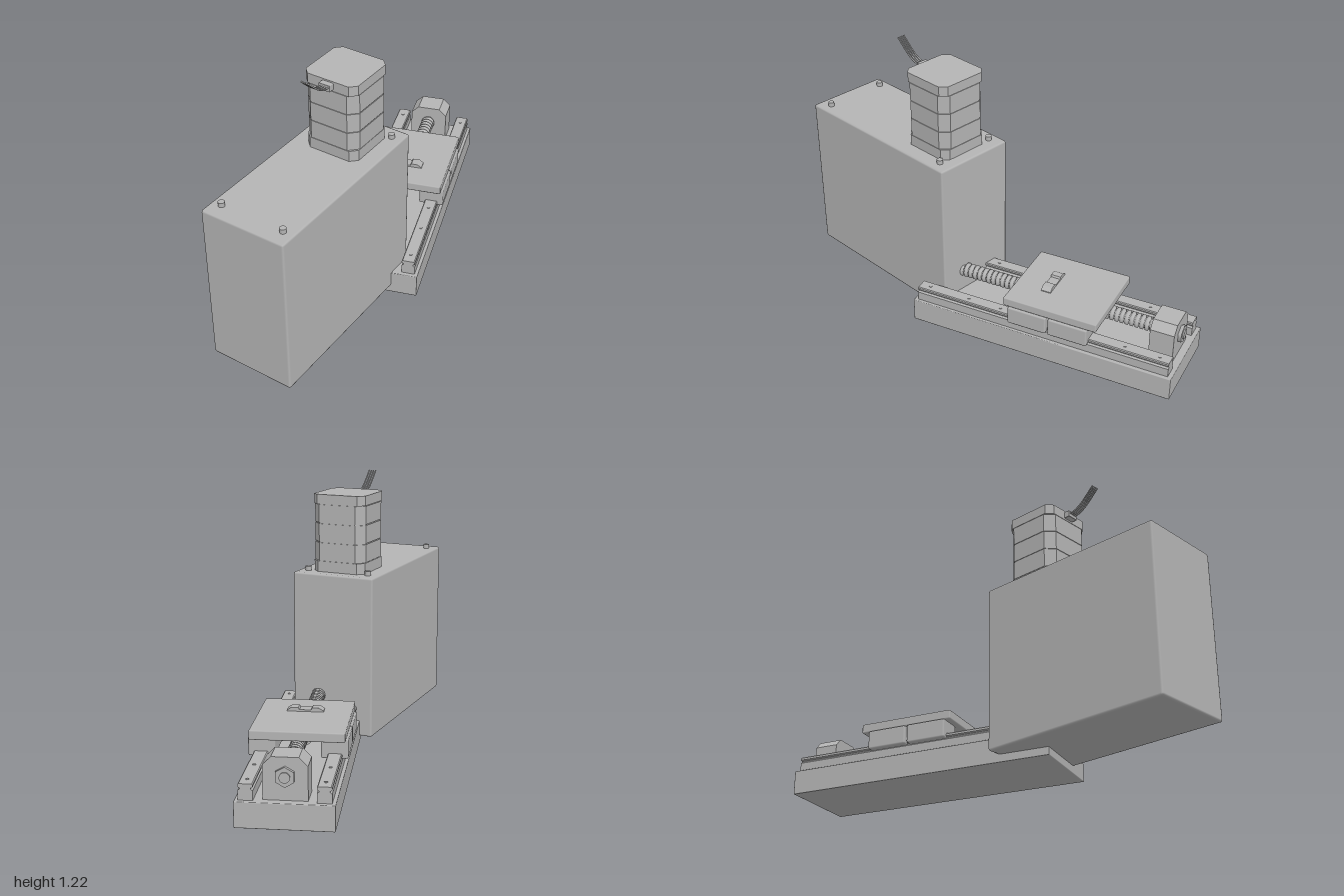
import * as THREE from 'three';
import { RoundedBoxGeometry } from 'three/addons/geometries/RoundedBoxGeometry.js';

export function createModel() {
  const model = new THREE.Group();
  model.name = 'linearActuator';
  const grey = new THREE.MeshStandardMaterial({ color: 0xb4b4b4 });
  grey.name = 'machined grey';

  const add = (parent, name, geometry, x = 0, y = 0, z = 0) => {
    const mesh = new THREE.Mesh(geometry, grey);
    mesh.name = name;
    mesh.position.set(x, y, z);
    parent.add(mesh);
    return mesh;
  };
  const box = (parent, name, w, h, d, x, y, z, r = 0.006) =>
    add(parent, name, new RoundedBoxGeometry(w, h, d, 1, r), x, y, z);
  const shapeOf = (points) => new THREE.Shape(points.map(([x, y]) => new THREE.Vector2(x, y)));
  // Extrude an x-y profile along z, centred on z
  const prism = (points, depth) =>
    new THREE.ExtrudeGeometry(shapeOf(points), { depth, bevelEnabled: false }).translate(0, 0, -depth / 2);
  // Upright block with chamfered corners, standing on y = 0
  const chamferedBlock = (w, c, h) => {
    const a = w / 2, b = a - c;
    const outline = [[a, -b], [a, b], [b, a], [-b, a], [-a, b], [-a, -b], [-b, -a], [b, -a]];
    return prism(outline, h).rotateX(-Math.PI / 2).translate(0, h / 2, 0);
  };

  // Housing with four corner screws
  box(model, 'housing', 0.4, 0.755, 0.9, 0.072, 0.4125, 0.55, 0.01);
  for (const x of [-0.078, 0.222]) for (const z of [0.165, 0.932]) {
    add(model, 'housingScrew', new THREE.CylinderGeometry(0.014, 0.014, 0.03, 20), x, 0.795, z);
  }

  // Stepper motor: flange, stacked body bands and end cap
  const motor = new THREE.Group();
  motor.name = 'motor';
  motor.position.set(0.072, 0, 0.283);
  model.add(motor);
  add(motor, 'motorFlange', chamferedBlock(0.256, 0.03, 0.055), 0, 0.785, 0);
  for (let i = 0; i < 3; i++) {
    add(motor, 'motorBand', chamferedBlock(0.256, 0.038, 0.084), 0, 0.842 + i * 0.0885, 0);
  }
  add(motor, 'motorCore', chamferedBlock(0.25, 0.038, 0.3), 0, 0.82, 0);
  add(motor, 'motorCap', chamferedBlock(0.256, 0.028, 0.045), 0, 1.105, 0);
  box(motor, 'connector', 0.054, 0.03, 0.04, 0, 1.128, 0.135, 0.003);
  for (let i = 0; i < 4; i++) {
    const x = (i - 1.5) * 0.011;
    const path = new THREE.CatmullRomCurve3([[1.128, 0.14], [1.136, 0.18], [1.155, 0.215], [1.185, 0.25], [1.22, 0.287]]
      .map(([y, z]) => new THREE.Vector3(x, y, z)));
    add(motor, 'wire', new THREE.TubeGeometry(path, 20, 0.0035, 8));
  }

  // Slide, turned about the vertical axis
  const slide = new THREE.Group();
  slide.name = 'slide';
  slide.position.set(-0.0025, 0, -0.3375);
  slide.rotation.y = 0.3195;
  model.add(slide);
  box(slide, 'base', 0.4, 0.11, 1.258, 0, 0.055, 0, 0.004);

  // Guide rails with side grooves and mounting screws
  const railProfile = [[-0.03, 0], [0.03, 0], [0.03, 0.042], [0.022, 0.048], [0.022, 0.053], [0.03, 0.057],
    [0.03, 0.066], [0.026, 0.07], [-0.026, 0.07], [-0.03, 0.066], [-0.03, 0.057], [-0.022, 0.053], [-0.022, 0.048], [-0.03, 0.042]];
  for (const side of [-1, 1]) {
    add(slide, 'guideRail', prism(railProfile, 1.22), side * 0.155, 0.108, 0);
    for (const z of [-0.56, -0.4, 0.2, 0.36, 0.56]) {
      add(slide, 'railScrew', new THREE.CylinderGeometry(0.007, 0.007, 0.004, 12), side * 0.155, 0.179, z);
    }
    // Two bearing blocks per rail
    for (const z of [-0.147, 0.048]) {
      box(slide, 'bearingBlock', 0.115, 0.085, 0.186, side * 0.1525, 0.197, z, 0.008);
    }
  }

  // Carriage plate and the drive nut showing through it
  box(slide, 'carriagePlate', 0.402, 0.042, 0.445, 0, 0.259, -0.057, 0.006);
  add(slide, 'nutTop', prism([[-0.08, 0], [0.08, 0], [0.08, 0.008], [0.06, 0.021], [0.03, 0.021], [0.025, 0.012],
    [-0.025, 0.012], [-0.03, 0.021], [-0.06, 0.021], [-0.08, 0.008]], 0.046), 0, 0.276, 0.013);
  add(slide, 'driveNut', new THREE.CylinderGeometry(0.05, 0.05, 0.16, 32).rotateX(Math.PI / 2), 0, 0.21, -0.03);

  // Lead screw with rounded thread ridges
  const pitch = 0.0235, turns = 46, thread = [new THREE.Vector2(0.001, 0)];
  for (let i = 0; i < turns; i++) {
    for (const [r, t] of [[0.024, 0], [0.024, 0.2], [0.033, 0.4], [0.033, 0.8]]) {
      thread.push(new THREE.Vector2(r, (i + t) * pitch));
    }
  }
  thread.push(new THREE.Vector2(0.001, turns * pitch));
  add(slide, 'leadScrew', new THREE.LatheGeometry(thread, 24).rotateX(Math.PI / 2), 0, 0.21, -0.53);

  // End support with chamfered top, hex nut and shaft end
  add(slide, 'endSupport', prism([[-0.09, 0], [0.09, 0], [0.09, 0.145], [0.055, 0.18], [-0.055, 0.18], [-0.09, 0.145]], 0.11), 0, 0.108, -0.54);
  add(slide, 'hexNut', new THREE.CylinderGeometry(0.042, 0.042, 0.02, 6).toNonIndexed().rotateX(Math.PI / 2), 0, 0.21, -0.6);
  add(slide, 'shaftEnd', new THREE.CylinderGeometry(0.022, 0.022, 0.02, 24).rotateX(Math.PI / 2), 0, 0.21, -0.606);

  return model;
}
